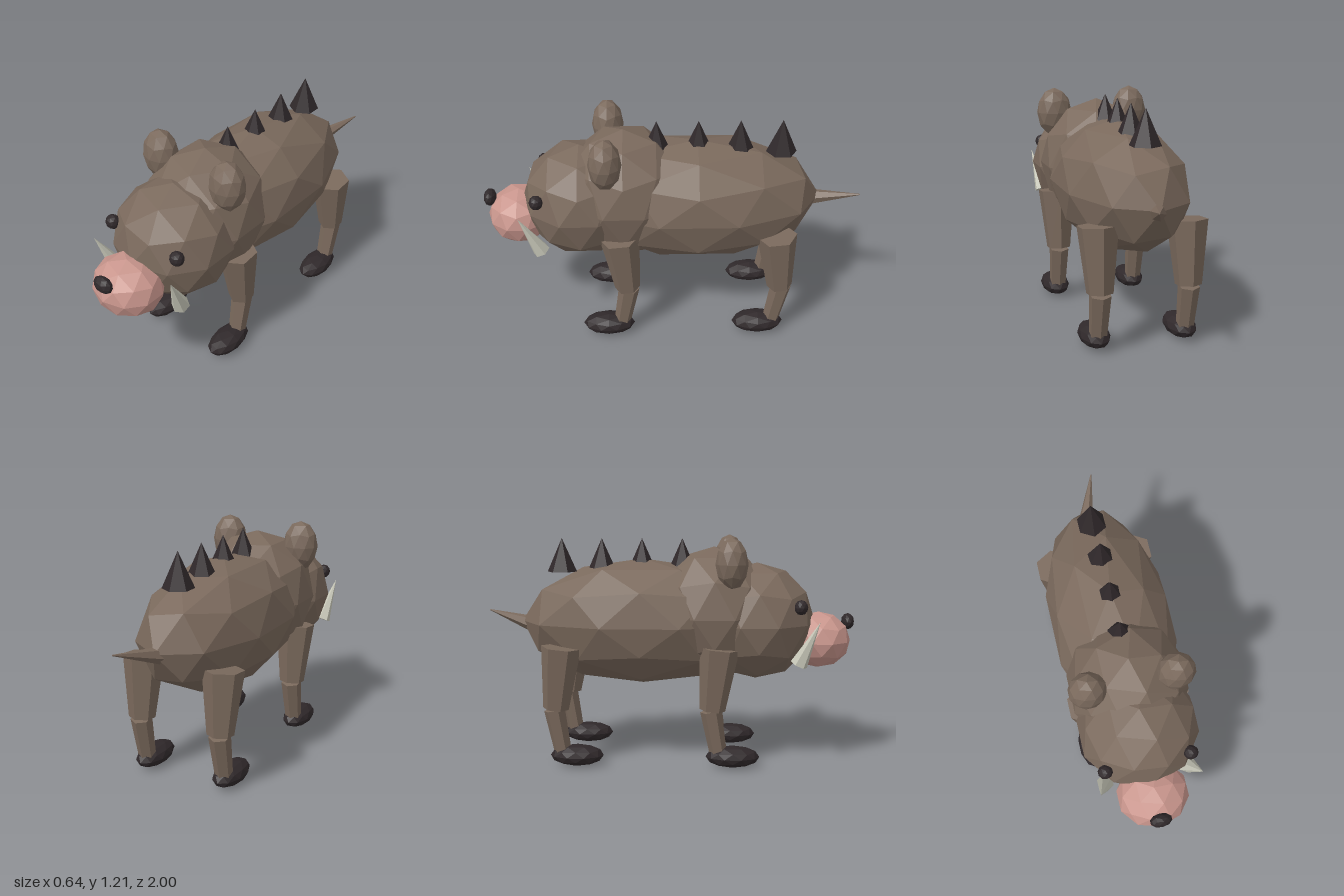
import * as THREE from 'three';

const mat = (name, color) => {
  const m = new THREE.MeshStandardMaterial({ color, flatShading: true });
  m.name = name;
  return m;
};

export function createModel() {
  const group = new THREE.Group();
  const hide = mat('brown hide', 0x7a695c);
  const skin = mat('pink snout skin', 0xc8958c);
  const dark = mat('dark horn', 0x2f282a);
  const ivory = mat('tusk ivory', 0xc8c8b9);

  const add = (name, geometry, material) => {
    const mesh = new THREE.Mesh(geometry, material);
    mesh.name = name;
    group.add(mesh);
    return mesh;
  };

  // Faceted ellipsoid with a corner pointing straight up
  const blob = (name, material, [x, y, z], [rx, ry, rz]) => {
    const g = new THREE.IcosahedronGeometry(1, 1);
    g.rotateX(-Math.atan((1 + Math.sqrt(5)) / 2)).rotateY(Math.PI / 2);
    g.scale(rx, ry, rz).translate(x, y, z);
    return add(name, g, material);
  };

  // Six-sided tapered limb between two points
  const limb = (name, material, from, to, r0, r1) => {
    const a = new THREE.Vector3(...from), b = new THREE.Vector3(...to);
    const dir = b.clone().sub(a);
    const g = new THREE.CylinderGeometry(r1, r0, dir.length(), 6);
    const mesh = add(name, g, material);
    mesh.position.copy(a).add(b).multiplyScalar(0.5);
    mesh.quaternion.setFromUnitVectors(new THREE.Vector3(0, 1, 0), dir.normalize());
    return mesh;
  };

  // Trunk and head
  blob('body', hide, [0, 0.75, -0.14], [0.33, 0.34, 0.66]);
  blob('shoulders', hide, [0, 0.795, 0.245], [0.315, 0.36, 0.34]);
  blob('head', hide, [0, 0.755, 0.475], [0.315, 0.315, 0.315]);
  blob('snout', skin, [0, 0.655, 0.81], [0.187, 0.152, 0.172]);
  blob('nose', dark, [0, 0.755, 0.966], [0.057, 0.044, 0.034]);

  for (const [side, s] of [['left', 1], ['right', -1]]) {
    blob(side + 'Eye', dark, [s * 0.217, 0.854, 0.69], [0.038, 0.039, 0.036]);
    blob(side + 'Ear', hide, [s * 0.22, 1.075, 0.332], [0.098, 0.136, 0.085]);
    limb(side + 'Tusk', ivory, [s * 0.22, 0.557, 0.685], [s * 0.261, 0.785, 0.785], 0.046, 0);

    // Front and hind legs share one build
    for (const [end, z] of [['Front', 0], ['Hind', -0.826]]) {
      const x = s * 0.23, leg = side + end;
      limb(leg + 'Thigh', hide, [x, 0.312, z + 0.238], [x, 0.64, z + 0.272], 0.068, 0.105);
      limb(leg + 'Shin', hide, [x, 0.06, z + 0.275], [x, 0.308, z + 0.23], 0.045, 0.056);
      blob(leg + 'Hoof', dark, [x, 0.06, z + 0.347], [0.078, 0.057, 0.142]);
    }
  }

  // Row of spikes along the back
  for (let i = 0; i < 4; i++) {
    const z = 0.073 - i * 0.2165;
    limb('backSpike' + (i + 1), dark, [0, 1.018, z], [0, 1.198, z], 0.08, 0);
  }

  // Tail, bent slightly to one side
  limb('tail', hide, [0, 0.735, -0.755], [0.085, 0.797, -1.0], 0.042, 0.003);

  return group;
}
